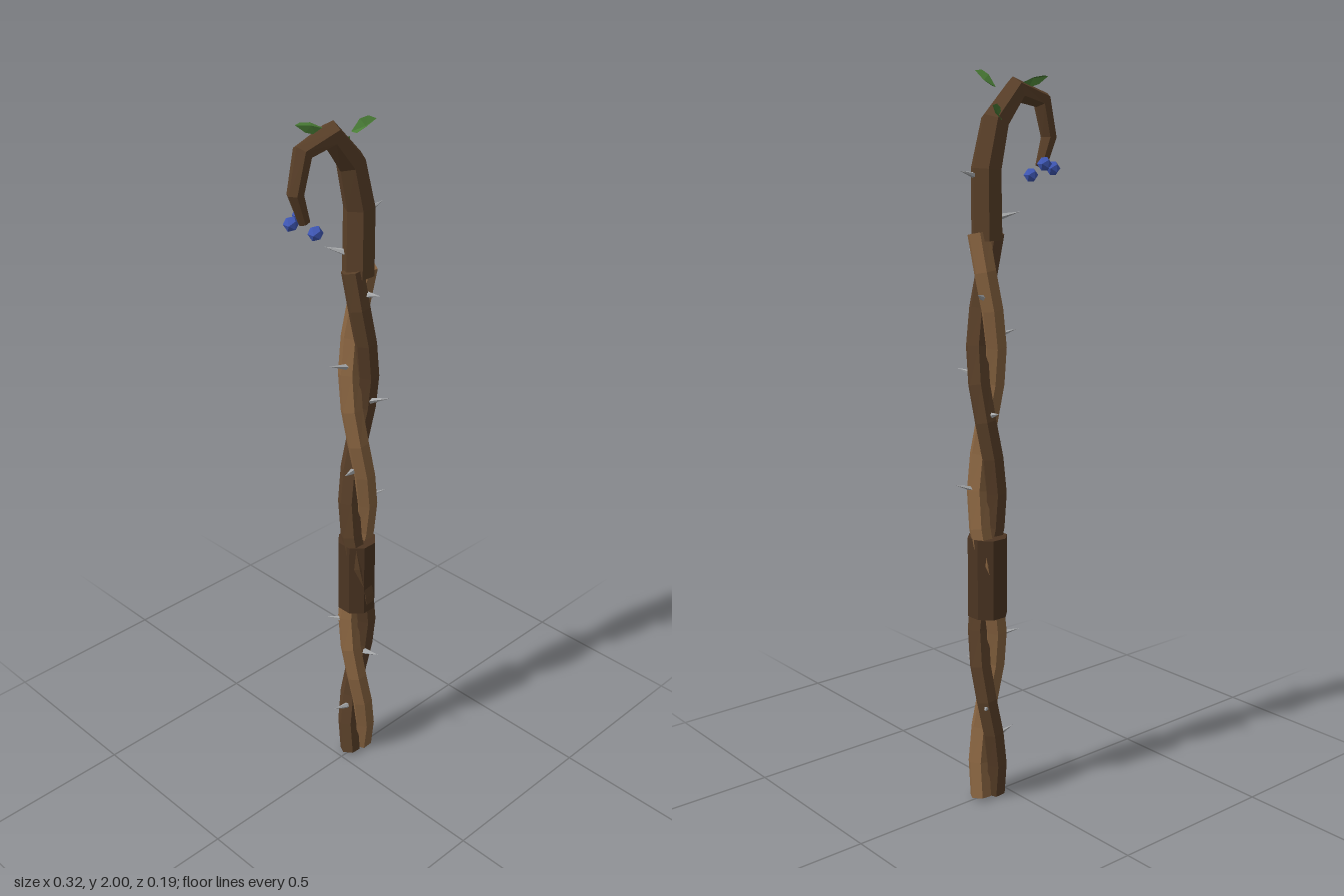
import * as THREE from 'three';

const V = (x, y, z) => new THREE.Vector3(x, y, z);
const mat = (name, color, side = THREE.FrontSide) =>
  new THREE.MeshStandardMaterial({ name, color, side, flatShading: true });

// Tapered tube with flat ends swept through rings of [centre, radius]
function sweep(rings, sides, phase = 0) {
  const pos = [], idx = [], n = rings.length;
  rings.forEach(([c, r], i) => {
    const before = rings[Math.max(i - 1, 0)][0], after = rings[Math.min(i + 1, n - 1)][0];
    const t = after.clone().sub(before).normalize();
    const u = t.clone().cross(V(0, 0, 1)).normalize();
    const w = t.clone().cross(u);
    for (let j = 0; j < sides; j++) {
      const a = phase + (j / sides) * Math.PI * 2;
      const p = c.clone().addScaledVector(u, Math.cos(a) * r).addScaledVector(w, Math.sin(a) * r);
      pos.push(p.x, p.y, p.z);
    }
  });
  for (let i = 0; i < n - 1; i++) {
    for (let j = 0; j < sides; j++) {
      const k = (j + 1) % sides;
      const a = i * sides + j, b = i * sides + k, c = a + sides, d = b + sides;
      idx.push(a, b, d, a, d, c);
    }
  }
  for (let j = 1; j < sides - 1; j++) {
    const e = (n - 1) * sides;
    idx.push(0, j + 1, j, e, e + j, e + j + 1);
  }
  const g = new THREE.BufferGeometry();
  g.setAttribute('position', new THREE.Float32BufferAttribute(pos, 3));
  g.setIndex(idx);
  g.computeVertexNormals();
  return g;
}

// Folded leaf between base and tip; side is the half-width vector
function leafGeometry(base, tip, side) {
  const dir = tip.clone().sub(base);
  const fold = dir.clone().cross(side).normalize().multiplyScalar(0.006);
  const at = (t, s, f) => base.clone().addScaledVector(dir, t).addScaledVector(side, s).addScaledVector(fold, f);
  const p = [base, at(0.35, 1, 1), at(0.7, 0.8, 1), tip, at(0.7, -0.8, 1), at(0.35, -1, 1), at(0.5, 0, -1)];
  const g = new THREE.BufferGeometry().setFromPoints(p);
  g.setIndex([0, 1, 6, 1, 2, 6, 2, 3, 6, 3, 4, 6, 4, 5, 6, 5, 0, 6]);
  g.computeVertexNormals();
  return g;
}

export function createModel() {
  const group = new THREE.Group();
  group.name = 'thornStaff';
  const lightBark = mat('light bark', 0x8b6642);
  const darkBark = mat('dark bark', 0x5a4029);
  const gripBrown = mat('grip brown', 0x4c3522);
  const thornGrey = mat('thorn grey', 0xa9abad);
  const leafGreen = mat('leaf green', 0x4a7d36, THREE.DoubleSide);
  const berryBlue = mat('berry blue', 0x4059b8);
  const add = (name, geo, material) => {
    const m = new THREE.Mesh(geo, material);
    m.name = name;
    group.add(m);
    return m;
  };
  const cx = 0.067, cz = -0.004;

  // Two strands twisted around each other, two full turns
  const strand = (name, start, material) => {
    const rings = [];
    for (let i = 0; i <= 16; i++) {
      const a = start + (i / 16) * Math.PI * 4;
      rings.push([V(cx + Math.cos(a) * 0.025, 0.005 + i * 0.099, cz + Math.sin(a) * 0.025), 0.031]);
    }
    add(name, sweep(rings, 6), material);
  };
  strand('lightStrand', 0, lightBark);
  strand('darkStrand', Math.PI, darkBark);

  // Grip wrap
  const grip = add('grip', new THREE.CylinderGeometry(0.056, 0.056, 0.225, 8), gripBrown);
  grip.position.set(cx, 0.6575, cz - 0.002);
  grip.rotation.y = Math.PI / 8;

  // Curled crook with a ridge along its outer side
  const crook = [
    [0.068, 1.57, 0.043], [0.07, 1.75, 0.042], [0.04, 1.87, 0.039], [-0.03, 1.95, 0.034],
    [-0.12, 1.925, 0.026], [-0.145, 1.83, 0.022], [-0.118, 1.755, 0.016],
  ].map(([x, y, r]) => [V(x, y, -0.009), r]);
  add('crook', sweep(crook, 6), darkBark);

  // Thorns spiralling up the staff, none around the grip
  const thornGeo = new THREE.ConeGeometry(0.009, 0.055, 5);
  for (let i = 0; i < 16; i++) {
    if (i >= 4 && i <= 6) continue;
    const a = (i - 15) * 2.3;
    const dir = V(Math.cos(a), 0.25, Math.sin(a)).normalize();
    const thorn = add('thorn', thornGeo, thornGrey);
    thorn.position.set(cx, 0.17 + i * 0.1037, cz - 0.003).addScaledVector(dir, 0.063);
    thorn.quaternion.setFromUnitVectors(V(0, 1, 0), dir);
  }

  // Leaves on the crook
  [
    [V(-0.04, 1.965, -0.016), V(-0.12, 1.985, -0.034), V(0, 0.013, -0.011)],
    [V(0.012, 1.955, 0.02), V(0.02, 2.0, 0.096), V(0.011, 0.014, -0.006)],
    [V(0.035, 1.875, -0.032), V(0.1, 1.908, -0.072), V(0.004, -0.016, -0.008)],
  ].forEach(([base, tip, side]) => add('leaf', leafGeometry(base, tip, side), leafGreen));

  // Berries at the tip of the crook
  const berryGeo = new THREE.IcosahedronGeometry(0.02, 0);
  [[-0.139, 1.75, -0.033], [-0.1, 1.762, -0.043], [-0.108, 1.732, 0.02]]
    .forEach(p => add('berry', berryGeo, berryBlue).position.set(...p));

  return group;
}
